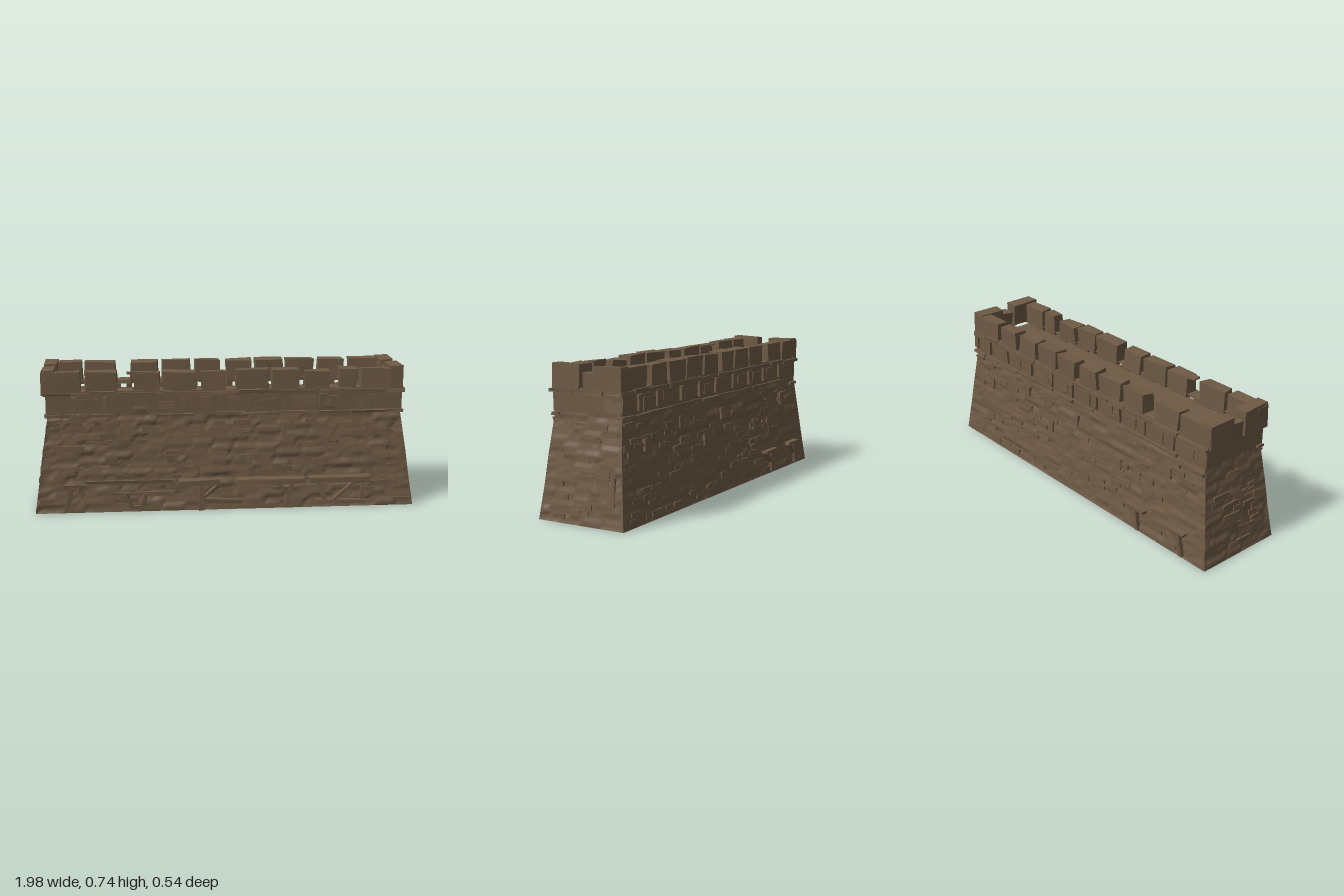
import * as THREE from 'three';
import { mergeGeometries } from 'three/addons/utils/BufferGeometryUtils.js';

const MID = -0.014; // depth centre of the wall
const LEVELS = [ // height, half length, front z, back z
  [0, 0.99, 0.226, -0.254], [0.17, 0.965, 0.207, -0.235], [0.3, 0.947, 0.197, -0.222],
  [0.5, 0.915, 0.178, -0.202], [0.58, 0.915, 0.178, -0.2], [0.8, 0.925, 0.178, -0.202]];

function profile(y) {
  let i = 0;
  while (i < LEVELS.length - 2 && y > LEVELS[i + 1][0]) i++;
  const a = LEVELS[i], b = LEVELS[i + 1], t = (y - a[0]) / (b[0] - a[0]);
  return [1, 2, 3].map(k => a[k] + (b[k] - a[k]) * t);
}

export function createModel() {
  const root = new THREE.Group();
  const stone = new THREE.MeshStandardMaterial({ color: 0x6e5a45 });
  stone.name = 'weathered brown stone';

  let seed = 7;
  const rnd = (a = 0, b = 1) => {
    seed = (seed * 16807) % 2147483647;
    return a + (b - a) * seed / 2147483647;
  };
  const hash = (a, b) => {
    const s = Math.sin(a * 127.1 + b * 311.7) * 43758.5453;
    return s - Math.floor(s);
  };
  const add = (name, geos) => {
    const mesh = new THREE.Mesh(Array.isArray(geos) ? mergeGeometries(geos) : geos, stone);
    mesh.name = name;
    root.add(mesh);
  };

  // A box with each corner nudged, so it looks hand cut
  function block(w, h, d, rough = 0.004) {
    const g = new THREE.BoxGeometry(w, h, d), p = g.attributes.position;
    const nudge = Array.from({ length: 24 }, () => rnd(-rough, rough));
    for (let i = 0; i < p.count; i++) {
      const k = 3 * ((p.getX(i) > 0 ? 1 : 0) + (p.getY(i) > 0 ? 2 : 0) + (p.getZ(i) > 0 ? 4 : 0));
      p.setXYZ(i, p.getX(i) + nudge[k], p.getY(i) + nudge[k + 1], p.getZ(i) + nudge[k + 2]);
    }
    g.computeVertexNormals();
    return g;
  }
  const span = (x0, x1, y0, y1, z0, z1, rough) =>
    block(x1 - x0, y1 - y0, z1 - z0, rough).translate((x0 + x1) / 2, (y0 + y1) / 2, (z0 + z1) / 2);

  // Set a block on a wall face; side 0 front, 1 +x end, 2 back, 3 -x end
  function onWall(side, u, y, w, h, out, depth = 0.03, tilt = 0.07, rough = 0.003) {
    const [hx, zf, zb] = profile(y);
    const dist = [zf - MID, hx, MID - zb, hx][side];
    return block(w, h, depth, rough).rotateX(-tilt)
      .translate(u, y, dist + out - depth / 2)
      .rotateY(side * Math.PI / 2).translate(0, 0, MID);
  }

  // Battered wall body with carved courses
  const H = 0.575, body = new THREE.BoxGeometry(2, H, 2, 120, 57, 32);
  const p = body.attributes.position;
  for (let i = 0; i < p.count; i++) {
    const sx = p.getX(i), sz = p.getZ(i), y = p.getY(i) + H / 2;
    const [hx, zf, zb] = profile(y);
    const onX = Math.abs(sx) > 0.999, onZ = Math.abs(sz) > 0.999;
    let x = sx * hx, z = zb + (sz + 1) / 2 * (zf - zb);
    if (onX !== onZ && y > 0.005 && y < H - 0.005) {
      const row = Math.floor(y / 0.0303), u = onZ ? x : z, face = onZ ? sz : sx * 2;
      const len = 0.09 + 0.06 * hash(row, 3), b = u / len + hash(row, face);
      const col = Math.floor(b), fx = b - col, fy = y / 0.0303 - row;
      let bump = 0.009 * hash(col + face * 17, row) - 0.005;
      if (fy < 0.3 || fx < 0.1) bump -= 0.004;
      if (onZ) z += sz * bump; else x += sx * bump;
    }
    p.setXYZ(i, x, y, z);
  }
  body.computeVertexNormals();
  add('wallBody', body);

  // Individual stones standing slightly proud of the faces
  const proud = [];
  for (let side = 0; side < 4; side++) {
    const long = side % 2 === 0;
    for (let n = 0; n < (long ? 110 : 24); n++) {
      const y = 0.03 + 0.0303 * Math.floor(rnd(0, 15)), w = rnd(0.04, 0.11);
      const reach = (long ? profile(y)[0] : 0.19) - w / 2 - 0.01;
      proud.push(onWall(side, rnd(-reach, reach), y, w, rnd(0.016, 0.03), rnd(0.001, 0.006)));
    }
  }
  proud.push(onWall(1, 0.15, 0.57, 0.1, 0.085, 0.008), onWall(1, 0.17, 0.17, 0.025, 0.13, 0.006));
  add('proudStones', proud);

  // Narrow upright loop stones
  const loops = [];
  for (const [x, y] of [[-0.54, 0.415], [-0.13, 0.42], [0.52, 0.345], [0.12, 0.26], [0.3, 0.42], [0.75, 0.42]])
    loops.push(onWall(0, x, y, 0.026, 0.06, 0.011));
  for (const [x, y] of [[-0.7, 0.4], [-0.35, 0.3], [0, 0.41], [0.2, 0.3], [0.42, 0.42], [0.75, 0.36]])
    loops.push(onWall(2, -x, y, 0.026, 0.06, 0.011));
  add('loopStones', loops);

  // Parapet wall around the walkway
  const rect = (S, x0, x1, z0, z1) => {
    const s = new S();
    s.moveTo(x0, -z0); s.lineTo(x1, -z0); s.lineTo(x1, -z1); s.lineTo(x0, -z1); s.closePath();
    return s;
  };
  const ring = rect(THREE.Shape, -0.922, 0.922, -0.203, 0.18);
  ring.holes.push(rect(THREE.Path, -0.87, 0.86, -0.132, 0.115));
  add('parapetWall', new THREE.ExtrudeGeometry(ring, { depth: 0.115, bevelEnabled: false })
    .rotateX(-Math.PI / 2).translate(0, 0.515, 0));

  // Ledge below the battlements and the string course under it
  const ledge = [], course = [];
  for (let side = 0; side < 4; side++) {
    const long = side % 2 === 0, end = long ? 0.93 : 0.195;
    for (let u = -end; u < end - 0.01;) {
      const w = Math.min(rnd(0.09, 0.22), end - u), out = rnd(0.011, 0.021);
      ledge.push(onWall(side, u + w / 2, rnd(0.612, 0.62), w, rnd(0.016, 0.024), out, 0.05, 0, 0.003));
      if (long && rnd() < 0.85)
        course.push(onWall(side, u + w / 2, rnd(0.5, 0.506), w * 0.97, 0.014, rnd(0.008, 0.018), 0.04, 0, 0.003));
      u += w;
    }
  }
  for (const s of [0, 2]) for (const u of [-0.88, 0.88]) // stray low stones by the corners
    course.push(onWall(s, u, 0.475, 0.07, 0.014, 0.012, 0.03, 0));
  add('upperLedge', ledge);
  add('stringCourse', course);

  // Short brackets and wide panels between the two courses
  const brackets = [];
  for (const x of [-0.78, -0.62, -0.4, -0.22, -0.05, 0.14, 0.32, 0.5, 0.7])
    for (const s of [0, 2]) {
      brackets.push(onWall(s, x, 0.565, 0.03, 0.075, 0.016, 0.03, 0));
      brackets.push(onWall(s, x + 0.09, rnd(0.55, 0.57), rnd(0.06, 0.12), rnd(0.04, 0.07), 0.007, 0.03, 0));
    }
  add('brackets', brackets);

  // Merlons: start x, end x, top
  const front = [[-0.72, -0.56, 0.73], [-0.47, -0.34, 0.72], [-0.32, -0.15, 0.725], [-0.13, 0.0, 0.72],
    [0.05, 0.22, 0.73], [0.24, 0.38, 0.73], [0.41, 0.54, 0.715], [0.59, 0.68, 0.73]];
  const back = [[-0.73, -0.57, 0.725], [-0.49, -0.345, 0.725], [-0.32, -0.165, 0.73], [-0.14, -0.01, 0.73],
    [0.03, 0.165, 0.725], [0.19, 0.335, 0.73], [0.36, 0.505, 0.73], [0.535, 0.67, 0.725]];
  const merlons = [];
  for (const [a, b, t] of front) merlons.push(span(a, b, 0.615, t, 0.11, 0.178, 0.006));
  for (const [a, b, t] of back) merlons.push(span(a, b, 0.615, t, -0.202, -0.132, 0.006));
  add('merlons', merlons);

  // L-shaped corner merlons, with a thin capping piece
  const corners = [];
  for (const [out, inn, tip] of [[-0.942, -0.875, -0.745], [0.925, 0.86, 0.705]]) {
    const x0 = Math.min(out, inn), x1 = Math.max(out, inn);
    const a = Math.min(out, tip), b = Math.max(out, tip);
    corners.push(span(a, b, 0.615, 0.728, 0.112, 0.18, 0.005));
    corners.push(span(a, b, 0.615, 0.728, -0.204, -0.134, 0.005));
    corners.push(span(x0, x1, 0.615, 0.738, 0.025, 0.183, 0.004));
    corners.push(span(x0, x1, 0.615, 0.734, -0.2, -0.05, 0.004));
    corners.push(span(x0, x1, 0.615, 0.7, -0.06, 0.01, 0.006));
  }
  corners.push(span(-0.51, -0.36, 0.712, 0.722, 0.12, 0.165, 0.003));
  add('cornerMerlons', corners);

  // Timber-like shelves and struts along the foot of the wall
  const beam = (x1, y1, x2, y2, t, z, d) => block(Math.hypot(x2 - x1, y2 - y1), t, d, 0.003)
    .rotateZ(Math.atan2(y2 - y1, x2 - x1)).translate((x1 + x2) / 2, (y1 + y2) / 2, z);
  const shelves = [
    span(-0.25, -0.04, 0.142, 0.17, 0.18, 0.268), span(0.05, 0.41, 0.142, 0.17, 0.18, 0.268),
    span(0.43, 0.75, 0.142, 0.17, 0.18, 0.268),
    span(-0.84, -0.73, 0.13, 0.15, 0.18, 0.23), span(-0.73, -0.28, 0.148, 0.164, 0.18, 0.225),
    span(-0.58, -0.27, 0.09, 0.106, 0.19, 0.234),
    span(-0.85, -0.73, 0.125, 0.143, -0.27, -0.2), span(-0.57, -0.43, 0.12, 0.138, -0.268, -0.2)];
  add('footShelves', shelves);

  const struts = [
    [-0.8, 0.135, -0.83, 0.01, 0.022], [-0.77, 0.135, -0.74, 0.09, 0.016],
    [-0.53, 0.1, -0.49, 0.02, 0.022], [-0.42, 0.1, -0.44, 0.02, 0.022], [-0.5, 0.025, -0.43, 0.025, 0.02],
    [-0.13, 0.155, -0.13, 0.0, 0.028], [-0.12, 0.05, 0.08, 0.045, 0.022], [-0.12, 0.07, -0.04, 0.135, 0.016],
    [0.26, 0.14, 0.32, 0.08, 0.02], [0.34, 0.14, 0.31, 0.01, 0.026], [0.24, 0.11, 0.36, 0.11, 0.016],
    [0.48, 0.145, 0.52, 0.03, 0.02], [0.72, 0.145, 0.71, 0.02, 0.022], [0.47, 0.035, 0.73, 0.03, 0.02],
    [0.56, 0.04, 0.68, 0.14, 0.016]
  ].map(([a, b, c, d, t]) => beam(a, b, c, d, t, 0.224, 0.036));
  for (const x of [-0.81, -0.5])
    struts.push(beam(x, 0.13, x - 0.02, 0.01, 0.026, -0.25, 0.034),
      beam(x, 0.07, x + 0.05, 0.125, 0.016, -0.25, 0.03));
  add('footStruts', struts);

  return root;
}
